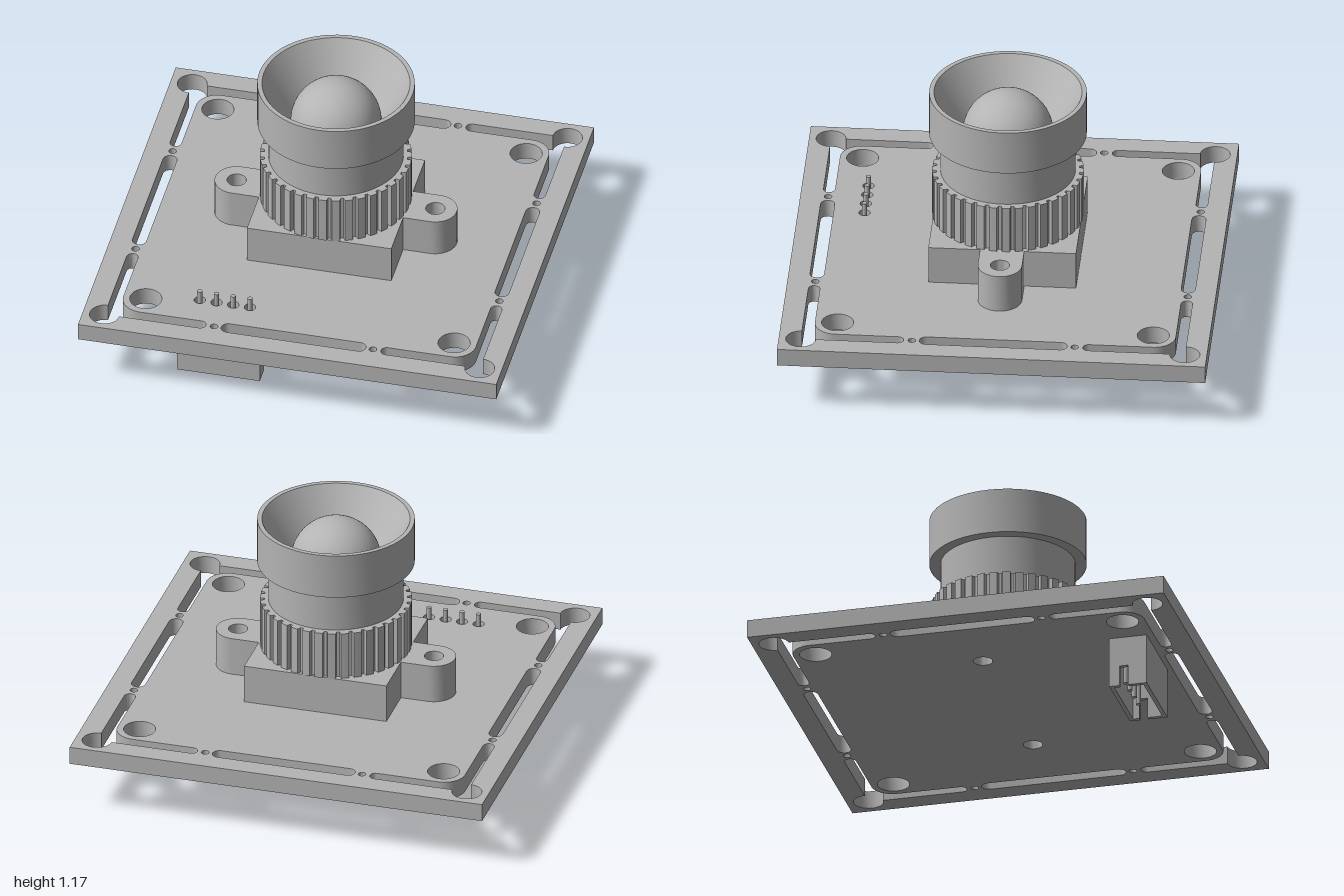
import * as THREE from 'three';
import { toCreasedNormals } from 'three/addons/utils/BufferGeometryUtils.js';

const grey = new THREE.MeshStandardMaterial({ color: 0xb4b4b4 });
grey.name = 'grey';

const V = (x, y) => new THREE.Vector2(x, y);

// Points along an arc, angles in degrees
function arc(cx, cy, r, from, to, n = 12) {
  return Array.from({ length: n + 1 }, (_, i) => {
    const a = THREE.MathUtils.degToRad(from + ((to - from) * i) / n);
    return V(cx + r * Math.cos(a), cy + r * Math.sin(a));
  });
}
const circle = (x, y, r, n = 32) => new THREE.Path(arc(x, y, r, 0, 360, n).slice(0, -1));

// Extrude a plan outline (x, -z) upward from y0 to y1
function slab(shape, y0, y1) {
  const g = new THREE.ExtrudeGeometry(shape, { depth: y1 - y0, bevelEnabled: false });
  return toCreasedNormals(g.rotateX(-Math.PI / 2).translate(0, y0, 0), 0.5);
}

export function createModel() {
  const model = new THREE.Group();
  const add = (name, geometry, parent = model) => {
    const mesh = new THREE.Mesh(geometry, grey);
    mesh.name = name;
    parent.add(mesh);
    return mesh;
  };
  const pinXs = [-0.49, -0.41, -0.33, -0.25];
  const pinZ = 0.69;
  const earX = 0.475;

  // Circuit board with break-away slots and screw holes
  const board = new THREE.Shape([V(-1, -1), V(1, -1), V(1, 1), V(-1, 1)]);
  const cornerSlot = [
    ...arc(0.445, 0.87, 0.027, 270, 90, 8),
    ...arc(0.897, 0.897, 0.07, 180, -90, 24),
    ...arc(0.87, 0.445, 0.027, 0, -180, 8),
    ...arc(0.743, 0.743, 0.1, 0, 90),
  ];
  const middleSlot = [
    ...arc(0.313, 0.867, 0.033, -90, 90, 8),
    ...arc(-0.313, 0.867, 0.033, 90, 270, 8),
  ];
  for (const s of [-1, 1]) {
    for (const t of [-1, 1]) {
      board.holes.push(
        new THREE.Path(cornerSlot.map((p) => V(p.x * s, p.y * t))),
        circle(0.737 * s, 0.737 * t, 0.075),
        circle(0.38 * s, 0.87 * t, 0.018, 16),
        circle(0.87 * s, 0.38 * t, 0.018, 16),
      );
    }
    board.holes.push(
      new THREE.Path(middleSlot.map((p) => V(p.x, p.y * s))),
      new THREE.Path(middleSlot.map((p) => V(p.y * s, p.x))),
      circle(earX * s, 0, 0.045),
    );
  }
  pinXs.forEach((x) => board.holes.push(circle(x, -pinZ, 0.027, 16)));
  add('circuitBoard', slab(board, 0.245, 0.332));

  // Square lens holder with two rounded screw ears
  const h = 0.345, e = 0.103;
  const holder = new THREE.Shape([
    V(-h, -h), V(h, -h), V(h, -e),
    ...arc(earX, 0, e, -90, 90, 20),
    V(h, e), V(h, h), V(-h, h), V(-h, e),
    ...arc(-earX, 0, e, 90, 270, 20),
    V(-h, -e),
  ]);
  holder.holes.push(circle(earX, 0, 0.045), circle(-earX, 0, 0.045));
  add('lensHolder', slab(holder, 0.332, 0.52));

  // Knurled focus ring
  const ribs = 36, step = 360 / ribs, knurl = [];
  for (let i = 0; i < ribs; i++) {
    const a = i * step;
    knurl.push(...arc(0, 0, 0.354, a, a + step * 0.6, 2));
    knurl.push(...arc(0, 0, 0.334, a + step * 0.68, a + step * 0.92, 1));
  }
  add('focusRing', slab(new THREE.Shape(knurl), 0.52, 0.755));

  // Lens barrel, flared hood and domed glass
  const lens = new THREE.Group();
  lens.name = 'lens';
  model.add(lens);
  const lathe = (pts) => toCreasedNormals(new THREE.LatheGeometry(pts, 64), 0.5);
  add('lensBarrel', lathe([V(0.315, 0.755), V(0.315, 0.955)]), lens);
  add('lensHood', lathe([
    V(0.315, 0.955), V(0.367, 0.955), V(0.367, 1.175), V(0.345, 1.175), V(0.21, 0.955),
  ]), lens);
  add('lensGlass', new THREE.SphereGeometry(0.212, 48, 16, 0, Math.PI * 2, 0, Math.PI / 2)
    .translate(0, 0.955, 0), lens);

  // Connector housing under the board, open at the bottom
  const connector = new THREE.Group();
  connector.name = 'connector';
  model.add(connector);
  const x0 = -0.57, x1 = -0.175, z0 = 0.63, z1 = 0.81, top = 0.245, w = 0.02;
  const box = (name, ax, bx, ay, by, az, bz) =>
    add(name, new THREE.BoxGeometry(bx - ax, by - ay, bz - az)
      .translate((ax + bx) / 2, (ay + by) / 2, (az + bz) / 2), connector);
  box('connectorRoof', x0 + w, x1 - w, 0.2, top, z0 + w, z1 - w);
  box('connectorFrontWall', x0, x1, 0, top, z1 - w, z1);

  // Back wall with two small latch windows
  const back = new THREE.Shape([V(x0, 0), V(x1, 0), V(x1, top), V(x0, top)]);
  for (const x of [x0 + 0.05, x1 - 0.05]) {
    back.holes.push(new THREE.Path([
      V(x - 0.014, 0.11), V(x + 0.014, 0.11), V(x + 0.014, 0.155), V(x - 0.014, 0.155),
    ]));
  }
  add('connectorBackWall', new THREE.ExtrudeGeometry(back, { depth: w, bevelEnabled: false })
    .translate(0, 0, z0), connector);

  // End walls, each notched from below
  for (const x of [x0, x1 - w]) {
    box('connectorEndWall', x, x + w, 0, top, z0 + w, 0.68);
    box('connectorEndWall', x, x + w, 0, top, 0.72, z1 - w);
    box('connectorEndWall', x, x + w, 0.1, top, 0.68, 0.72);
  }

  // Contact pins running through the board
  for (const x of pinXs) {
    add('contactPin', new THREE.CylinderGeometry(0.012, 0.012, 0.34, 16)
      .translate(x, 0.215, pinZ), connector);
  }
  return model;
}
